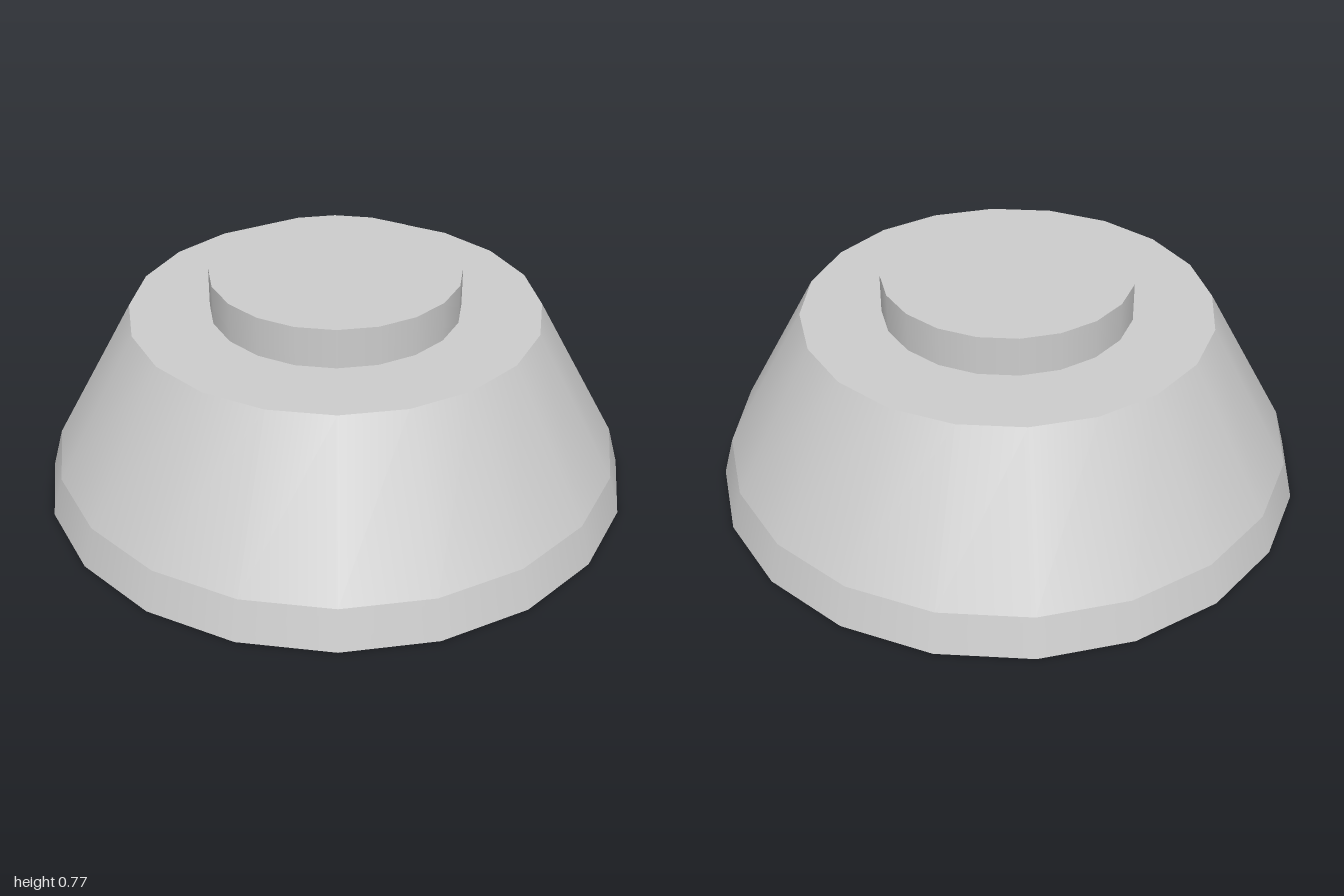
import * as THREE from 'three';

const SIDES = 20;

export function createModel() {
  const model = new THREE.Group();
  model.name = 'flaredCap';
  const grey = new THREE.MeshStandardMaterial({ color: 0xcccccc, side: THREE.DoubleSide });
  grey.name = 'lightGrey';

  const add = (name, geometry, y) => {
    const mesh = new THREE.Mesh(geometry, grey);
    mesh.name = name;
    mesh.position.y = y;
    model.add(mesh);
  };

  // Thin open wall between two heights, with a hard edge at each end
  const wall = (name, rTop, rBottom, y0, y1) =>
    add(name, new THREE.CylinderGeometry(rTop, rBottom, y1 - y0, SIDES, 1, true), (y0 + y1) / 2);

  // Flat round plate facing up
  const plate = (name, radius, y) =>
    add(name, new THREE.CircleGeometry(radius, SIDES).rotateX(-Math.PI / 2), y);

  // Hollow flared skirt, open underneath
  wall('lowerRim', 0.963, 1, 0, 0.135);
  wall('skirt', 0.69, 0.963, 0.135, 0.635);
  plate('shoulder', 0.69, 0.635);

  // Raised round boss on top
  wall('bossSide', 0.42, 0.42, 0.635, 0.77);
  plate('bossTop', 0.42, 0.77);

  return model;
}
